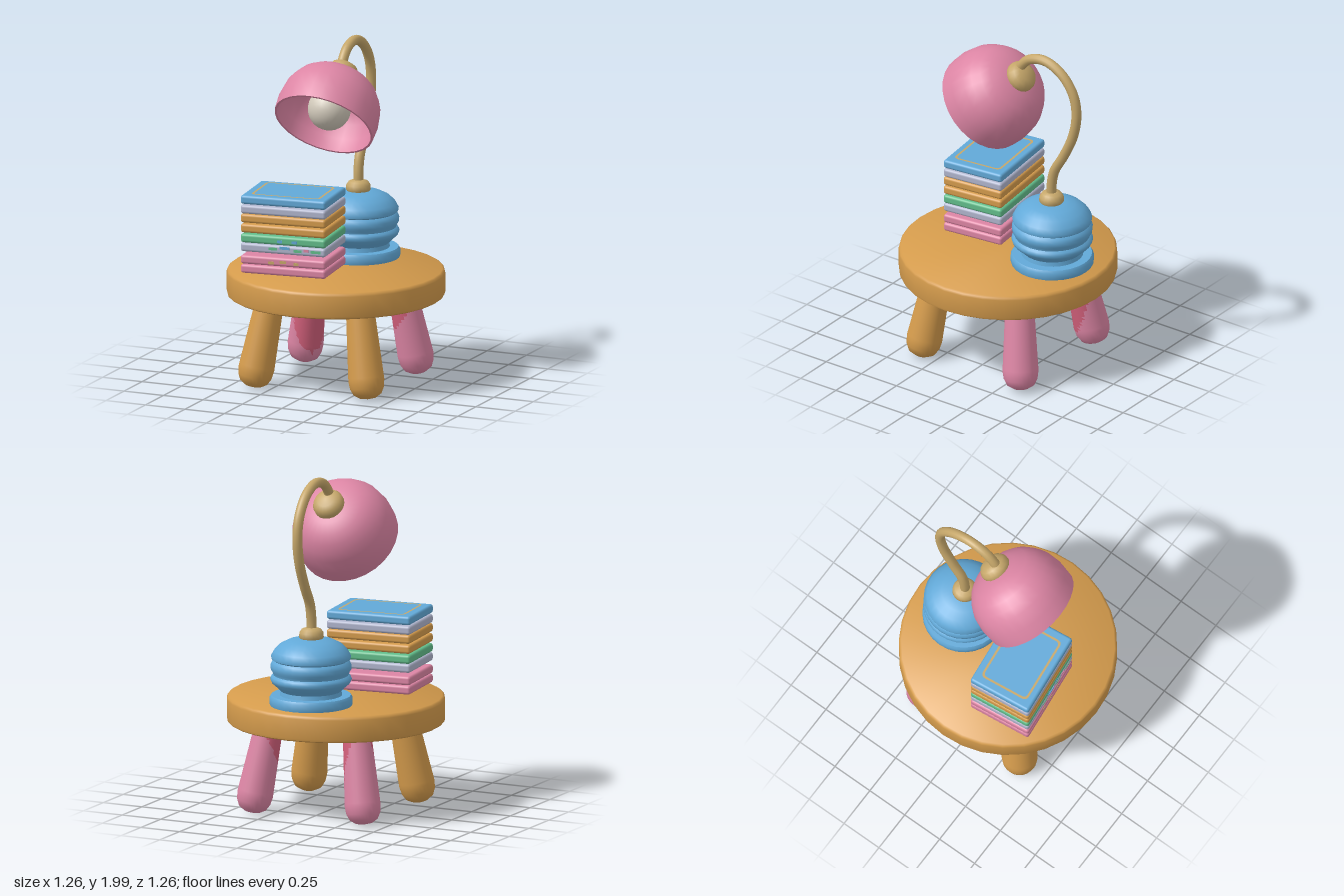
import * as THREE from 'three';
import { toCreasedNormals } from 'three/addons/utils/BufferGeometryUtils.js';
import { RoundedBoxGeometry } from 'three/addons/geometries/RoundedBoxGeometry.js';

const paint = (name, color) => {
  const m = new THREE.MeshStandardMaterial({ color });
  m.name = name;
  return m;
};

export function createModel() {
  const model = new THREE.Group();
  model.name = 'sideTableWithLamp';

  const wood = paint('warm wood', 0xd49b4c);
  const pink = paint('soft pink', 0xdc85a4);
  const red = paint('rose red', 0xd2607b);
  const blue = paint('sky blue', 0x62a9d8);
  const brass = paint('pale brass', 0xc6a76a);
  const cream = paint('bulb cream', 0xd2cabb);
  const lavender = paint('grey lavender', 0xb0b5cd);
  const green = paint('leaf green', 0x62bd8b);

  const add = (parent, name, geometry, material, x = 0, y = 0, z = 0) => {
    const mesh = new THREE.Mesh(geometry, material);
    mesh.name = name;
    mesh.position.set(x, y, z);
    parent.add(mesh);
    return mesh;
  };
  const lathe = (points, sides = 28, crease = 0.7) => toCreasedNormals(
    new THREE.LatheGeometry(points.map(([r, y]) => new THREE.Vector2(r, y)), sides), crease);

  // Round table top with softened edges
  add(model, 'tableTop', lathe([
    [0, 0.52], [0.615, 0.52], [0.626, 0.527], [0.63, 0.54],
    [0.63, 0.655], [0.626, 0.668], [0.615, 0.676], [0, 0.676],
  ], 32), wood);

  // Splayed legs with round feet; rings are close together so the colour can change along them
  const legProfile = [[0, 0], [0.045, 0.006], [0.08, 0.028], [0.098, 0.065], [0.104, 0.11]];
  for (let i = 1; i <= 24; i++) legProfile.push([0.104 - 0.024 * i / 24, 0.11 + 0.45 * i / 24]);

  // Rear legs turn red on the side facing the middle, reaching lower there
  const splitLeg = (geometry, inward, height, slope) => {
    const pos = geometry.attributes.position, nor = geometry.attributes.normal;
    const order = [[], []];
    for (let i = 0; i < pos.count; i += 3) {
      let y = 0, facing = 0;
      for (let k = i; k < i + 3; k++) {
        y += pos.getY(k) / 3;
        facing += (nor.getX(k) * inward.x + nor.getZ(k) * inward.z) / 3;
      }
      order[y > height - slope * facing ? 1 : 0].push(i, i + 1, i + 2);
    }
    geometry.setIndex([...order[0], ...order[1]]);
    geometry.addGroup(0, order[0].length, 0);
    geometry.addGroup(order[0].length, order[1].length, 1);
  };
  for (const sx of [-1, 1]) {
    for (const sz of [-1, 1]) {
      const geometry = lathe(legProfile, 28, 0.9);
      if (sz < 0) {
        const inward = new THREE.Vector3(-sx, 0, -sz).normalize();
        splitLeg(geometry, inward, sx > 0 ? 0.42 : 0.31, sx > 0 ? 0.12 : 0.22);
      }
      const name = (sz > 0 ? 'front' : 'back') + (sx > 0 ? 'Left' : 'Right') + 'Leg';
      const leg = add(model, name, geometry, sz > 0 ? wood : [pink, red], sx * 0.365, 0.012, sz * 0.355);
      leg.quaternion.setFromUnitVectors(
        new THREE.Vector3(0, 1, 0), new THREE.Vector3(-sx * 0.085, 0.54, -sz * 0.07).normalize());
    }
  }

  // Lamp foot and ribbed round body
  const lamp = new THREE.Group();
  lamp.name = 'lamp';
  model.add(lamp);
  add(lamp, 'lampFoot', lathe([
    [0, 0.67], [0.235, 0.67], [0.24, 0.685], [0.24, 0.72], [0.23, 0.735], [0, 0.737],
  ]), blue, 0, 0, -0.315);
  add(lamp, 'lampBody', lathe([
    [0, 0.73], [0.18, 0.735], [0.175, 0.76], [0.2, 0.785], [0.228, 0.81], [0.236, 0.83],
    [0.23, 0.845], [0.218, 0.855], [0.222, 0.87], [0.232, 0.885], [0.234, 0.91], [0.226, 0.93],
    [0.215, 0.94], [0.228, 0.948], [0.231, 0.965], [0.215, 0.995], [0.18, 1.03],
    [0.13, 1.055], [0.08, 1.066], [0, 1.07],
  ], 28, 0.8), blue, 0, 0, -0.315);
  add(lamp, 'neckCollar', lathe([
    [0, 1.05], [0.06, 1.055], [0.072, 1.075], [0.07, 1.1], [0.056, 1.12], [0.03, 1.13], [0, 1.13],
  ], 20, 1.2), brass, 0, 0, -0.31);

  // Curved lamp arm
  const armPath = new THREE.CatmullRomCurve3([
    [1.08, -0.308], [1.18, -0.311], [1.27, -0.33], [1.39, -0.397], [1.54, -0.463], [1.68, -0.487],
    [1.8, -0.467], [1.9, -0.4], [1.957, -0.31], [1.968, -0.235], [1.945, -0.155], [1.9, -0.105], [1.85, -0.075],
  ].map(([y, z]) => new THREE.Vector3(0, y, z)));
  add(lamp, 'lampArm', new THREE.TubeGeometry(armPath, 60, 0.029, 12), brass);

  // Tilted shade, built around its own axis with the rim at zero
  const head = new THREE.Group();
  head.name = 'lampHead';
  head.position.set(0, 1.564, 0.17);
  head.rotation.x = -0.811;
  lamp.add(head);
  add(head, 'shade', lathe([
    [0, 0.343], [0.12, 0.325], [0.22, 0.265], [0.272, 0.18], [0.288, 0.09], [0.284, 0],
    [0.297, 0], [0.301, 0.09], [0.286, 0.18], [0.262, 0.23], [0.23, 0.278],
    [0.185, 0.315], [0.12, 0.343], [0.06, 0.354], [0, 0.358],
  ], 28, 0.8), pink);
  add(head, 'shadeCollar', lathe([
    [0, 0.325], [0.08, 0.33], [0.092, 0.35], [0.092, 0.375], [0.078, 0.4], [0.05, 0.416], [0, 0.42],
  ], 20, 1.2), brass);
  add(head, 'bulb', new THREE.SphereGeometry(0.125, 24, 16), cream, 0, 0.108, 0);
  add(head, 'bulbSocket', new THREE.CylinderGeometry(0.05, 0.05, 0.15, 16), cream, 0, 0.27, 0);

  // Stack of thin books
  const books = new THREE.Group();
  books.name = 'bookStack';
  books.position.set(-0.17, 0, 0.222);
  books.rotation.y = 0.113;
  model.add(books);
  const W = 0.516, D = 0.386;
  const stack = [
    [pink, 0.728], [pink, 0.783], [lavender, 0.856], [green, 0.909],
    [wood, 0.968], [wood, 1.027], [lavender, 1.08], [blue, 1.137],
  ];
  stack.forEach(([material, y], i) => {
    add(books, 'book' + (i + 1), new RoundedBoxGeometry(W, 0.052, D, 3, 0.016), material, 0, y, 0);
  });

  // Pale frame line on the top cover
  const roundedRect = (path, w, h, r) => {
    path.moveTo(-w + r, -h);
    path.lineTo(w - r, -h).quadraticCurveTo(w, -h, w, -h + r);
    path.lineTo(w, h - r).quadraticCurveTo(w, h, w - r, h);
    path.lineTo(-w + r, h).quadraticCurveTo(-w, h, -w, h - r);
    path.lineTo(-w, -h + r).quadraticCurveTo(-w, -h, -w + r, -h);
    return path;
  };
  const frame = roundedRect(new THREE.Shape(), W / 2 - 0.05, D / 2 - 0.04, 0.035);
  frame.holes.push(roundedRect(new THREE.Path(), W / 2 - 0.063, D / 2 - 0.053, 0.025));
  const line = add(books, 'coverFrame', new THREE.ShapeGeometry(frame), brass, 0, 1.1645, 0);
  line.rotation.x = -Math.PI / 2;

  // Small coloured flecks on the front edges of the lower books
  const flecks = [
    [green, -0.06, 0.86, 0.05], [blue, 0.01, 0.868, 0.06], [green, 0.09, 0.856, 0.05], [pink, 0.14, 0.862, 0.03],
    [green, 0.2, 0.858, 0.06], [blue, -0.02, 0.905, 0.03], [blue, 0.07, 0.906, 0.03],
    [brass, -0.07, 0.776, 0.035], [brass, 0, 0.784, 0.04], [brass, 0.08, 0.778, 0.03],
  ];
  for (const [material, x, y, w] of flecks) {
    add(books, 'edgeFleck', new THREE.BoxGeometry(w, 0.016, 0.004), material, x, y, D / 2);
  }

  return model;
}
